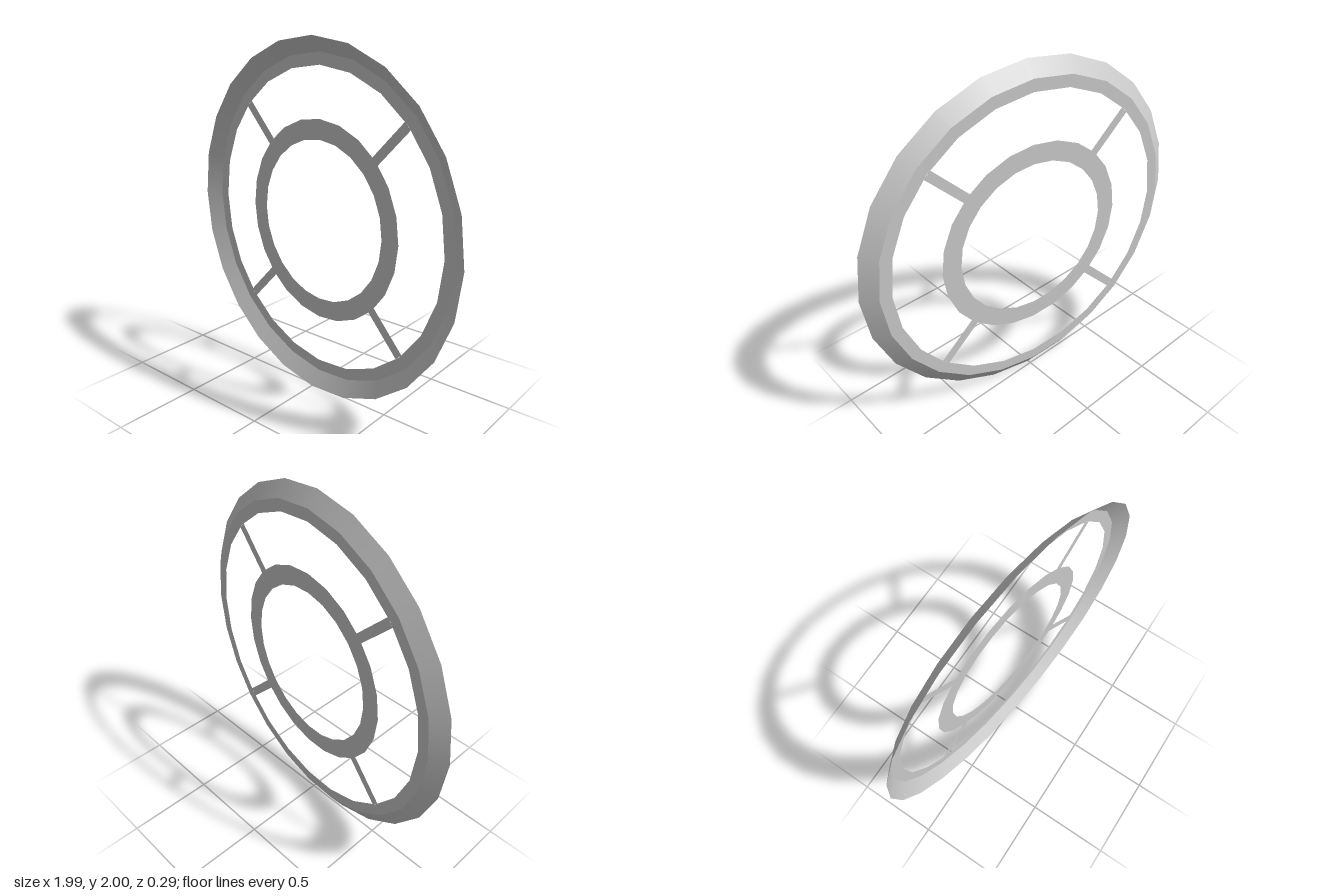
import * as THREE from 'three';

const SIDES = 24;
const DEPTH = 0.058; // distance from front lip to the flat rear face

export function createModel() {
  const model = new THREE.Group();
  const wheel = new THREE.Group();
  wheel.name = 'wheel';
  model.add(wheel);

  const material = new THREE.MeshStandardMaterial({ color: 0xcccccc, side: THREE.DoubleSide });
  const add = (name, geometry) => {
    const mesh = new THREE.Mesh(geometry, material);
    mesh.name = name;
    wheel.add(mesh);
    return mesh;
  };

  // Flared rim, widening towards the front
  add('flaredRim', new THREE.CylinderGeometry(1, 0.917, DEPTH, SIDES, 1, true)
    .rotateX(Math.PI / 2).translate(0, 0, -DEPTH / 2));

  // Flat rings on the rear plane
  add('outerRing', new THREE.RingGeometry(0.85, 0.917, SIDES).translate(0, 0, -DEPTH));
  add('innerRing', new THREE.RingGeometry(0.459, 0.57, SIDES).translate(0, 0, -DEPTH));

  // Four flat diagonal spokes joining the rings
  const from = 0.567, to = 0.848;
  for (let i = 0; i < 4; i++) {
    const spoke = add('spoke' + (i + 1), new THREE.PlaneGeometry(to - from, 0.052)
      .translate((from + to) / 2, 0, -DEPTH));
    spoke.rotation.z = Math.PI / 4 + i * Math.PI / 2;
  }

  // Slight turn about the vertical axis
  wheel.rotation.y = -0.12;
  wheel.position.set(0, 1, 0.022);
  return model;
}
